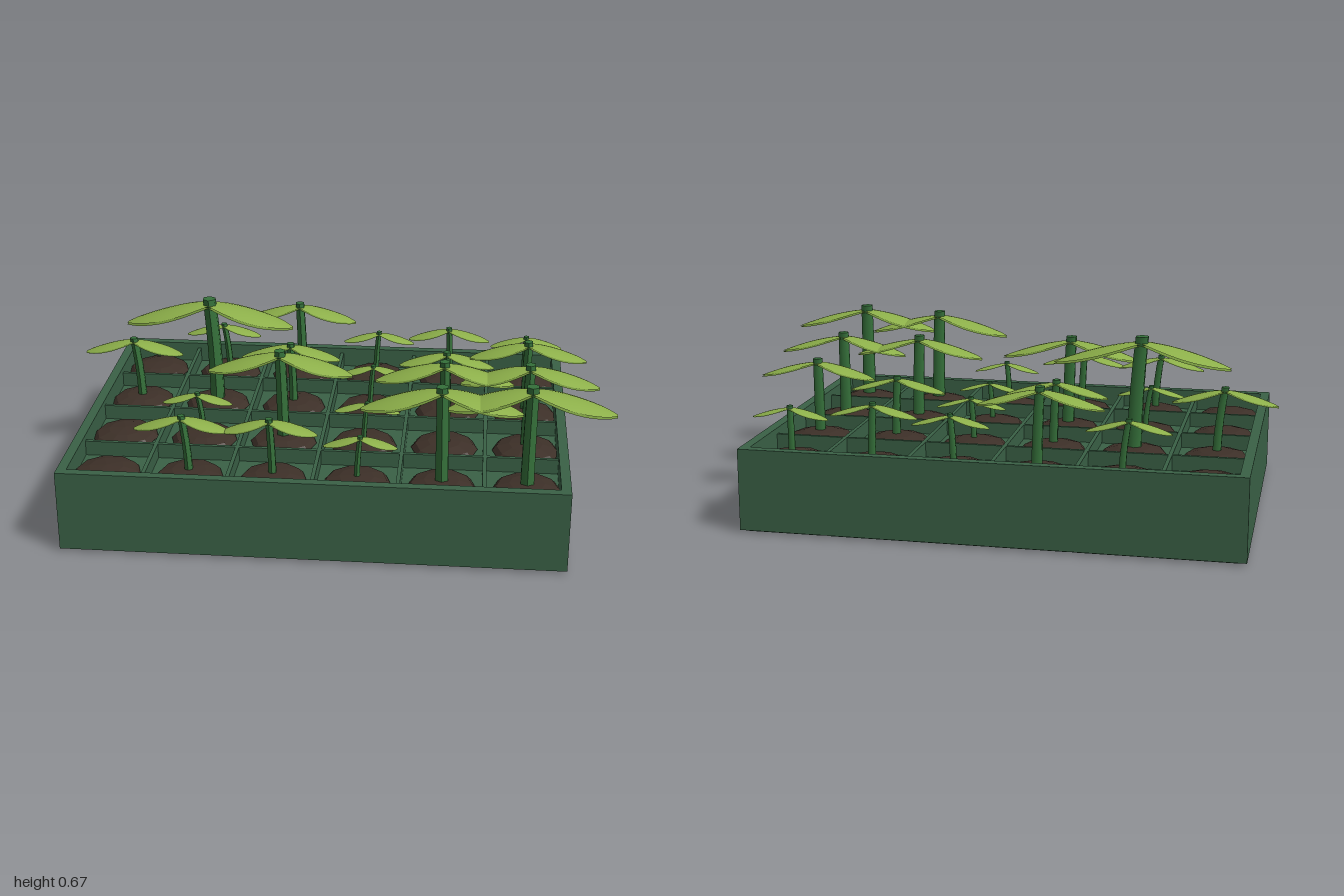
import * as THREE from 'three';

const mat = (name, color, opts = {}) => Object.assign(new THREE.MeshStandardMaterial({ color, ...opts }), { name });

// Curved seed leaf of unit length along +x, arching down to its tip
function leafGeometry(width, drop, flip) {
  const nu = 10, nv = 6, pos = [], idx = [];
  for (let i = 0; i <= nu; i++) {
    const t = i / nu;
    const half = width * (Math.pow(Math.sin(Math.PI * (0.06 + 0.93 * t)), 0.65));
    for (let j = 0; j <= nv; j++) {
      const v = (j / nv) * 2 - 1;
      pos.push(t, -0.26 * Math.pow(t, 1.6) - 0.05 * v * v * Math.sin(Math.PI * t) - drop, v * half);
    }
  }
  for (let i = 0; i < nu; i++) {
    for (let j = 0; j < nv; j++) {
      const a = i * (nv + 1) + j, b = a + 1, c = a + nv + 1, d = c + 1;
      if (flip) idx.push(a, c, b, b, c, d);
      else idx.push(a, b, c, b, d, c);
    }
  }
  const g = new THREE.BufferGeometry();
  g.setAttribute('position', new THREE.Float32BufferAttribute(pos, 3));
  g.setIndex(idx);
  g.computeVertexNormals();
  return g;
}

export function createModel() {
  const root = new THREE.Group();
  root.name = 'seedlingTray';
  const trayMat = mat('trayGreen', 0x3a6146);
  const soilMat = mat('soilBrown', 0x3d3028, { flatShading: true });
  const stemMat = mat('stemGreen', 0x35703a);
  const leafMat = mat('leafGreen', 0x8db04a, { side: THREE.DoubleSide });
  const underMat = mat('leafUnderside', 0x6f8f3a, { side: THREE.DoubleSide });

  const add = (parent, name, geo, material, x = 0, y = 0, z = 0) => {
    const m = new THREE.Mesh(geo, material);
    m.name = name;
    m.position.set(x, y, z);
    parent.add(m);
    return m;
  };
  const box = (parent, name, w, h, d, x, y, z) =>
    add(parent, name, new THREE.BoxGeometry(w, h, d), trayMat, x, y, z);

  // Tray shell: four walls around a raised inner floor
  const tray = new THREE.Group();
  tray.name = 'tray';
  root.add(tray);
  const cx = -0.047, cz = -0.003, W = 1.785, D = 1.275, rim = 0.035, top = 0.307, low = 0.01;
  for (const s of [-1, 1]) {
    box(tray, 'longWall', W, top - low, rim, cx, (top + low) / 2, cz + s * (D - rim) / 2);
    box(tray, 'shortWall', rim, top - low, D - 2 * rim, cx + s * (W - rim) / 2, (top + low) / 2, cz);
  }
  box(tray, 'trayFloor', W - 2 * rim, 0.22, D - 2 * rim, cx, 0.12, cz);

  // Dividers between the cells
  const dx = 0.298, dz = 0.32;
  const colX = i => cx + (i - 2.5) * dx;
  const rowZ = j => cz + (j - 1.5) * dz;
  for (let i = 0; i < 5; i++) box(tray, 'divider', 0.014, 0.06, D - 2 * rim, colX(i + 0.5), 0.255, cz);
  for (let j = 0; j < 3; j++) box(tray, 'divider', W - 2 * rim, 0.06, 0.014, cx, 0.255, rowZ(j + 0.5));

  // Soil mound and base pad in every cell
  const soilGeo = new THREE.SphereGeometry(1, 10, 6).scale(0.123, 0.035, 0.131);
  const padW = 1.75 / 6, padD = 1.235 / 4;
  for (let i = 0; i < 6; i++) {
    for (let j = 0; j < 4; j++) {
      add(root, 'soil', soilGeo, soilMat, colX(i), 0.235, rowZ(j));
      box(tray, 'basePad', padW - 0.012, 0.012, padD - 0.012,
        cx + (i - 2.5) * padW, 0.006, cz + (j - 1.5) * padD);
    }
  }

  // Leaf reach of each seedling by row and column; 0 is an empty cell
  const reach = [
    [0, 0.15, 0.225, 0.14, 0.16, 0.14],
    [0.19, 0.32, 0.19, 0.13, 0.18, 0.22],
    [0, 0.13, 0.265, 0.12, 0.25, 0.25],
    [0, 0.17, 0.17, 0.13, 0.28, 0.29],
  ];
  const lean = [-0.025, -0.022, -0.01, 0.012, -0.006, 0.004];
  const upperGeo = leafGeometry(0.25, 0, false);
  const lowerGeo = leafGeometry(0.275, 0.022, true);

  reach.forEach((row, j) => row.forEach((s, i) => {
    if (!s) return;
    const plant = new THREE.Group();
    plant.name = 'seedling';
    plant.position.set(colX(i), 0, rowZ(j));
    root.add(plant);

    // Bent, tapering stem
    const y0 = 0.22, y1 = 0.25 + 1.32 * s, r = 0.095 * s;
    const stem = new THREE.CylinderGeometry(r * 0.85, r, y1 - y0, 6, 5).translate(0, (y0 + y1) / 2, 0);
    const p = stem.attributes.position;
    for (let k = 0; k < p.count; k++) {
      const t = (p.getY(k) - y0) / (y1 - y0);
      p.setX(k, p.getX(k) + lean[i] * t * t);
    }
    stem.computeVertexNormals();
    add(plant, 'stem', stem, stemMat);

    // Mirrored pair of leaves, with a slightly wider underside
    for (const turn of [0, Math.PI]) {
      const leaf = new THREE.Group();
      leaf.name = 'leaf';
      leaf.position.set(lean[i], y1 - 0.07 * s, 0);
      leaf.rotation.y = turn;
      leaf.scale.setScalar(s);
      add(leaf, 'leafTop', upperGeo, leafMat);
      add(leaf, 'leafUnderside', lowerGeo, underMat);
      plant.add(leaf);
    }
  }));
  return root;
}
